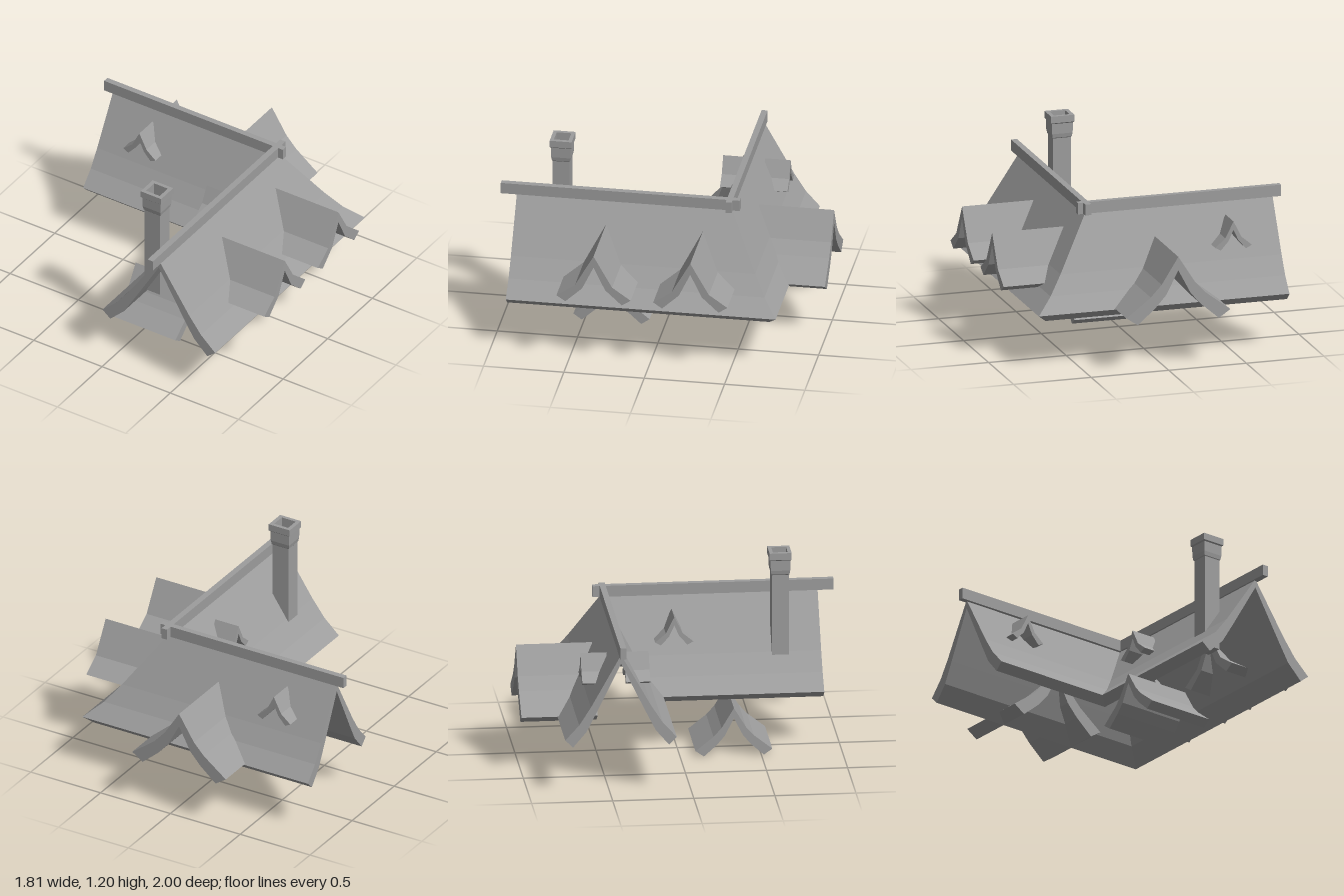
import * as THREE from 'three';

const material = new THREE.MeshStandardMaterial({ color: 0x9d9d9d, flatShading: true });

function addMesh(group, name, geometry) {
  const mesh = new THREE.Mesh(geometry, material);
  mesh.name = name;
  group.add(mesh);
  return mesh;
}

// Half of a symmetric section, ridge first, expanded from one edge to the other
const mirrored = (half) => [
  ...half.slice(1).reverse().map(([x, y]) => [-x, y]),
  ...half,
];

// L-shaped roof shell: the curved section is swept round a mitred corner
function mainRoofGeometry() {
  const outer = mirrored([[0, 0.89], [0.54, 0.558], [0.75, 0.445], [1, 0.35]]);
  const inner = mirrored([[0, 0.835], [0.43, 0.53], [0.62, 0.4], [0.86, 0.303]]);
  const section = [...outer, ...inner.slice().reverse()];
  const sideX = (t) => 0.352 + 0.413 * t;
  const sideZ = (t) => -0.433 - 0.344 * t;
  const rings = [
    section.map(([t, y]) => [-0.85, y, sideZ(t)]),
    section.map(([t, y]) => [sideX(t), y, sideZ(t)]),
    section.map(([t, y]) => [sideX(t), y, 0.902]),
  ];
  const positions = [];
  const quad = (a, b, c, d) => positions.push(...a, ...b, ...c, ...a, ...c, ...d);
  const n = section.length;
  for (let k = 0; k < 2; k++) {
    for (let i = 0; i < n; i++) {
      const j = (i + 1) % n;
      quad(rings[k][i], rings[k + 1][i], rings[k + 1][j], rings[k][j]);
    }
  }
  // Gable edges
  const [first, , last] = rings;
  for (let i = 0; i < outer.length - 1; i++) {
    const p = n - 1 - i;
    quad(first[i], first[i + 1], first[p - 1], first[p]);
    quad(last[i], last[p], last[p - 1], last[i + 1]);
  }
  const geometry = new THREE.BufferGeometry();
  geometry.setAttribute('position', new THREE.Float32BufferAttribute(positions, 3));
  geometry.computeVertexNormals();
  return geometry;
}

// Unit gable sections: half width 1, height 1
const flaredGable = {
  outer: [[0, 1], [0.32, 0.59], [0.53, 0.41], [1, 0.12]],
  inner: [[0, 0.79], [0.24, 0.42], [0.45, 0.23], [0.78, 0]],
};
const dormerGable = {
  outer: [[0, 1], [0.5, 0.365], [1, 0.115]],
  inner: [[0, 0.765], [0.31, 0.3], [0.76, 0]],
};
const smallGable = {
  outer: [[0, 1], [0.44, 0.42], [1, 0.11]],
  inner: [[0, 0.7], [0.27, 0.31], [0.69, 0]],
};

// Open gabled roof running from its inner end in the direction of the angle
function addGable(group, name, gable, { width, height, length, at, angle }) {
  const points = [...mirrored(gable.outer), ...mirrored(gable.inner).reverse()]
    .map(([x, y]) => new THREE.Vector2(x * width, y * height));
  const geometry = new THREE.ExtrudeGeometry(new THREE.Shape(points), {
    depth: length, bevelEnabled: false,
  });
  const mesh = addMesh(group, name, geometry);
  mesh.position.set(...at);
  mesh.rotation.y = angle;
}

export function createModel() {
  const group = new THREE.Group();
  group.name = 'roof';

  addMesh(group, 'mainRoof', mainRoofGeometry());

  // Ridge beams
  addMesh(group, 'sideRidgeBeam', new THREE.BoxGeometry(1.309, 0.072, 0.037))
    .position.set(-0.2485, 0.913, -0.424);
  addMesh(group, 'frontRidgeBeam', new THREE.BoxGeometry(0.039, 0.07, 1.487))
    .position.set(0.353, 0.914, 0.2565);

  // Large dormers on the left slope
  for (const z of [-0.27, 0.332]) {
    addGable(group, 'leftDormer', dormerGable, {
      width: 0.231, height: 0.319, length: 0.466, at: [0.437, 0.437, z], angle: Math.PI / 2,
    });
  }

  // Wide gable at the back and low porch roof on the right
  addGable(group, 'backGable', flaredGable, {
    width: 0.335, height: 0.414, length: 0.47, at: [-0.062, 0.306, -0.53], angle: Math.PI,
  });
  addGable(group, 'porchRoof', flaredGable, {
    width: 0.237, height: 0.305, length: 0.445, at: [0.255, 0, 0.331], angle: -Math.PI / 2,
  });

  // Small vent dormers
  const vents = [
    { at: [-0.53, 0.627, -0.38], angle: 0, length: 0.15 },
    { at: [-0.53, 0.627, -0.49], angle: Math.PI, length: 0.16 },
    { at: [0.277, 0.627, -0.006], angle: -Math.PI / 2, length: 0.167 },
  ];
  for (const vent of vents) {
    addGable(group, 'ventDormer', smallGable, { width: 0.118, height: 0.179, ...vent });
  }

  // Square chimney with stepped cap and open flue
  const profile = [
    [0, 0.455], [0.057, 0.455], [0.057, 1.055], [0.061, 1.06], [0.066, 1.085],
    [0.067, 1.15], [0.075, 1.157], [0.075, 1.2], [0.05, 1.2], [0.05, 1.08], [0, 1.08],
  ].map(([r, y]) => new THREE.Vector2(r * Math.SQRT2, y));
  const chimney = addMesh(group, 'chimney', new THREE.LatheGeometry(profile, 4, Math.PI / 4));
  chimney.scale.z = 0.91;
  chimney.position.set(0.173, 0, 0.649);

  return group;
}
